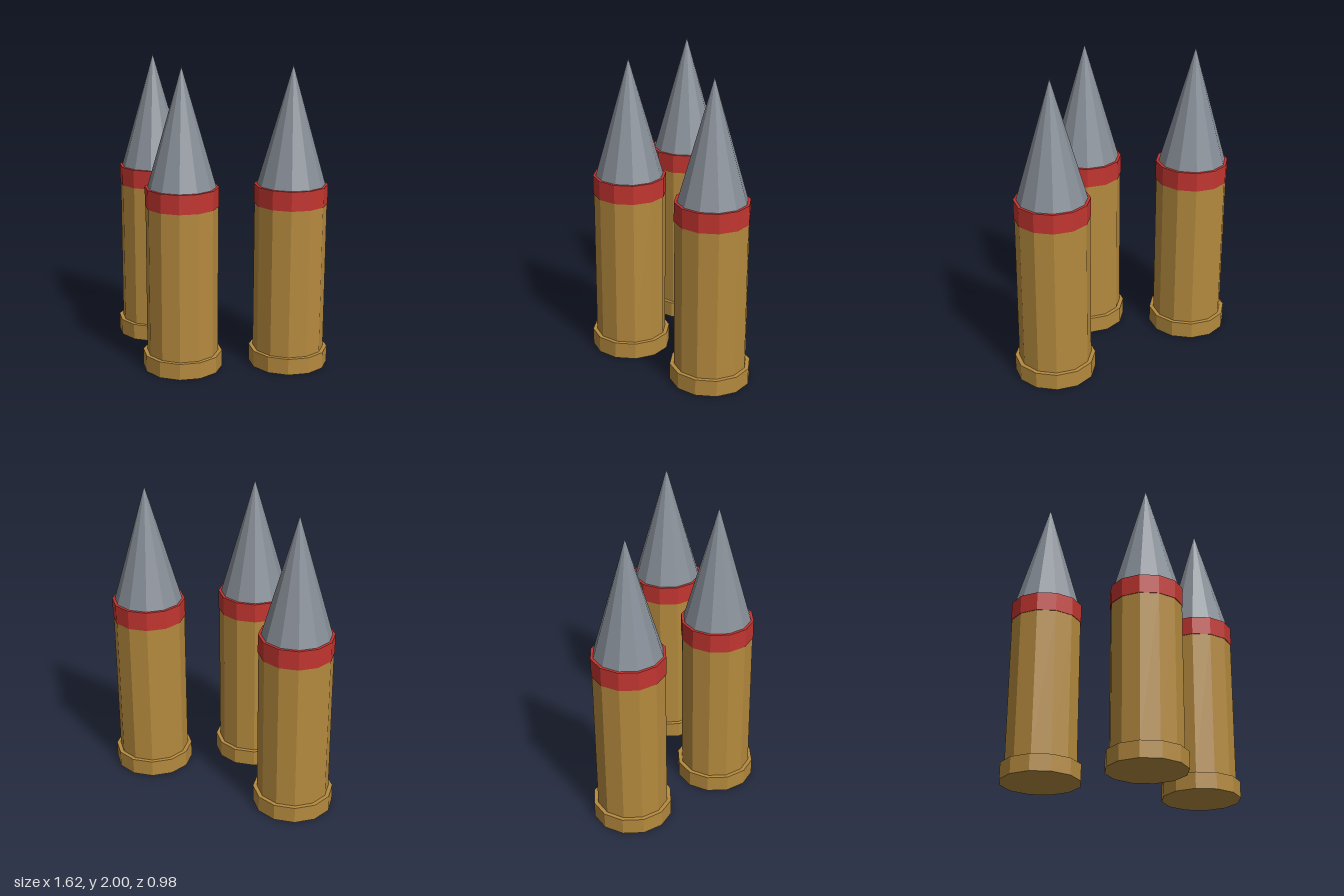
import * as THREE from 'three';

const SIDES = 12;
const material = (color) => new THREE.MeshStandardMaterial({ color, flatShading: true });

export function createModel() {
  const brass = material(0xb58a3e);
  const red = material(0xc23530);
  const steel = material(0x868d96);

  // Upright twelve-sided part between two heights
  function ring(name, radius, y0, y1, mat) {
    const geometry = new THREE.CylinderGeometry(radius, radius, y1 - y0, SIDES);
    geometry.translate(0, (y0 + y1) / 2, 0);
    const mesh = new THREE.Mesh(geometry, mat);
    mesh.name = name;
    return mesh;
  }

  function createShell(name, x, z) {
    const shell = new THREE.Group();
    shell.name = name;
    shell.add(
      ring('baseRim', 0.263, 0, 0.11, brass),
      ring('casing', 0.236, 0.11, 1.1, brass),
      ring('band', 0.24, 1.1, 1.227, red)
    );

    // Pointed tip
    const tipGeometry = new THREE.ConeGeometry(0.222, 0.773, SIDES);
    tipGeometry.translate(0, 1.227 + 0.773 / 2, 0);
    const tip = new THREE.Mesh(tipGeometry, steel);
    tip.name = 'tip';
    shell.add(tip);

    shell.position.set(x, 0, z);
    return shell;
  }

  // One shell in front, two behind
  const model = new THREE.Group();
  model.name = 'shells';
  model.add(
    createShell('frontShell', 0, 0.228),
    createShell('backLeftShell', 0.547, -0.228),
    createShell('backRightShell', -0.547, -0.228)
  );
  return model;
}
